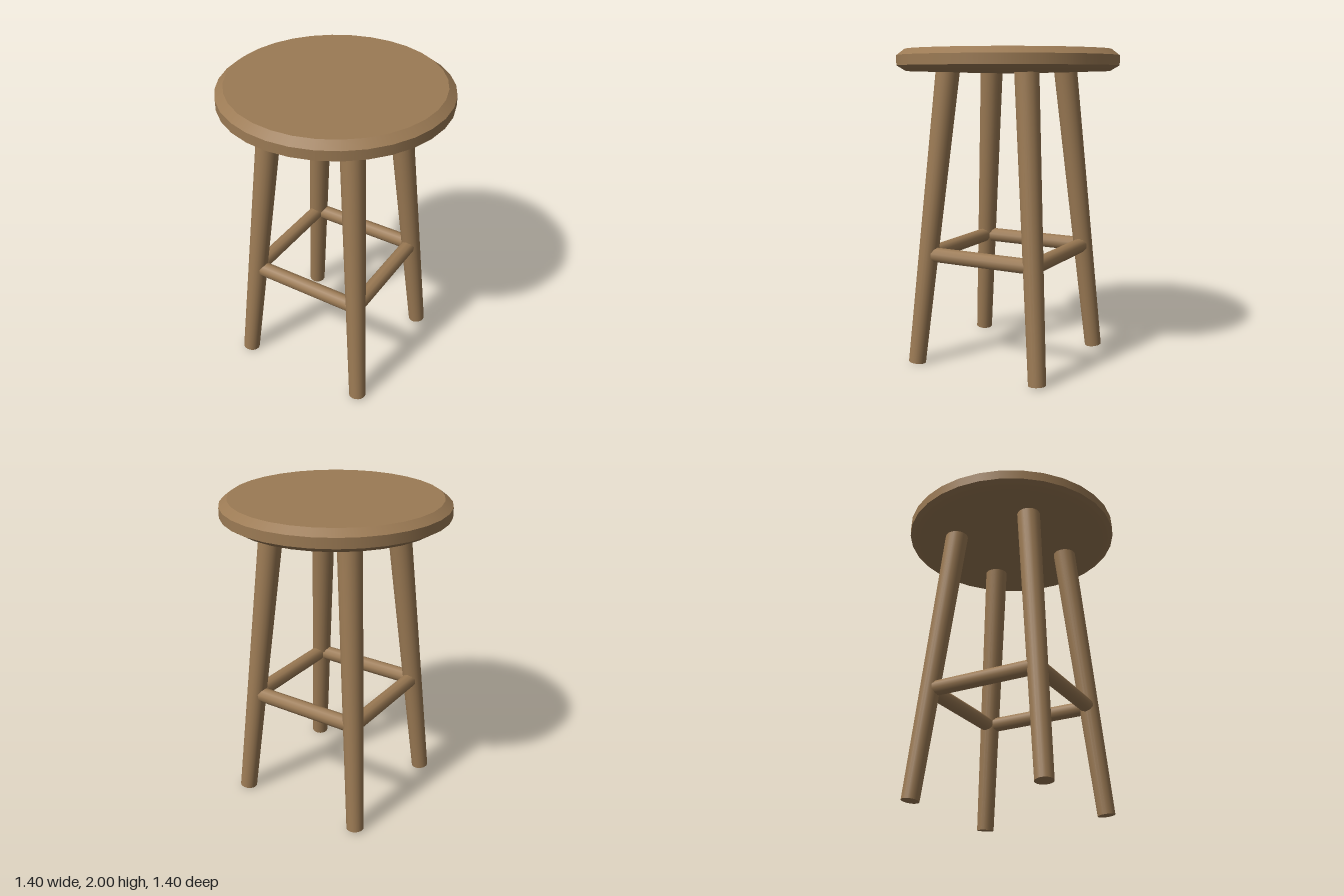
import * as THREE from 'three';

export function createModel() {
  const model = new THREE.Group();
  model.name = 'stool';
  const wood = new THREE.MeshStandardMaterial({ color: 0x9b7a54 });
  wood.name = 'brown wood';

  const add = (name, geometry, parent = model) => {
    const mesh = new THREE.Mesh(geometry, wood);
    mesh.name = name;
    parent.add(mesh);
    return mesh;
  };

  // Tapered round bar from point a to point b
  const bar = (name, a, b, ra, rb, sides) => {
    const axis = b.clone().sub(a);
    const mesh = add(name, new THREE.CylinderGeometry(rb, ra, axis.length(), sides));
    mesh.position.copy(a).add(b).multiplyScalar(0.5);
    mesh.quaternion.setFromUnitVectors(new THREE.Vector3(0, 1, 0), axis.normalize());
    return mesh;
  };

  // Round seat: one lathe per band keeps the rims sharp
  const seat = new THREE.Group();
  seat.name = 'seat';
  model.add(seat);
  const bands = {
    seatUnderside: [[0, 1.85], [0.3, 1.855], [0.64, 1.864], [0.7, 1.9]],
    seatEdge: [[0.7, 1.9], [0.7, 1.962]],
    seatBevel: [[0.7, 1.962], [0.65, 2]],
    seatTop: [[0.65, 2], [0, 2]],
  };
  for (const [name, points] of Object.entries(bands)) {
    const profile = points.map(([r, y]) => new THREE.Vector2(r, y));
    add(name, new THREE.LatheGeometry(profile, 32), seat);
  }

  // Four splayed, tapered legs
  const corners = [['frontLeft', 1, 1], ['frontRight', -1, 1], ['backRight', -1, -1], ['backLeft', 1, -1]];
  for (const [name, sx, sz] of corners) {
    bar(name + 'Leg',
      new THREE.Vector3(0.433 * sx, 0.0066, 0.433 * sz),
      new THREE.Vector3(0.274 * sx, 1.875, 0.274 * sz), 0.055, 0.075, 20);
  }

  // Four stretchers joining neighbouring legs
  const h = 0.714, d = 0.372;
  ['front', 'right', 'back', 'left'].forEach((name, i) => {
    const [, ax, az] = corners[i];
    const [, bx, bz] = corners[(i + 1) % 4];
    const mesh = bar(name + 'Stretcher',
      new THREE.Vector3(ax * d, h, az * d), new THREE.Vector3(bx * d, h, bz * d), 0.048, 0.048, 10);
    // Turn a corner of the ten-sided section to the top
    mesh.rotateY(i % 2 ? 0 : Math.PI / 10);
  });

  return model;
}
